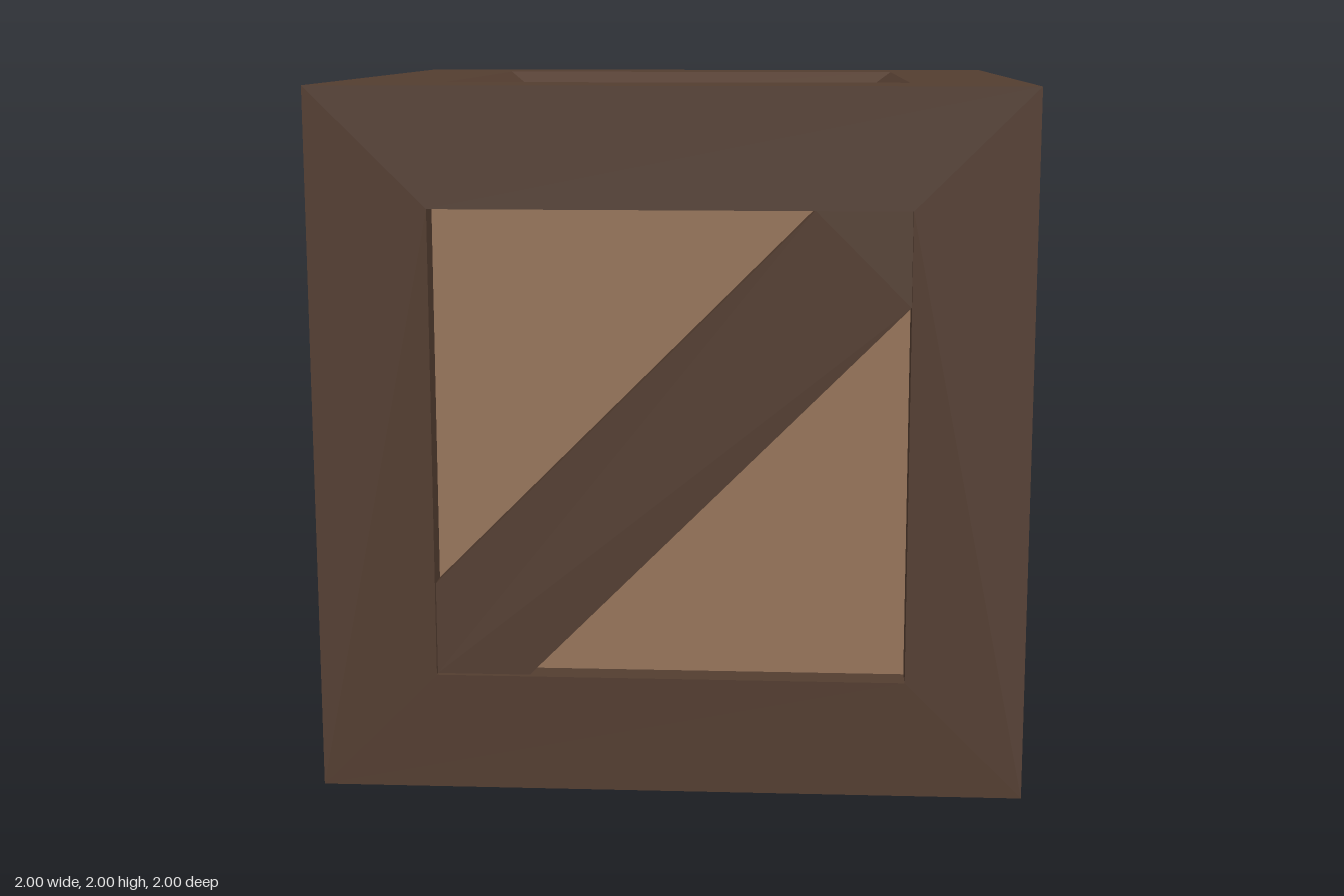
import * as THREE from 'three';

const OPEN = 0.665;   // half width of each opening
const DEPTH = 0.08;   // recess of the panels
const INSET = 0.016;  // recess of the diagonal braces

const darkWood = new THREE.MeshStandardMaterial({ color: 0x533d30, flatShading: true });
const lightWood = new THREE.MeshStandardMaterial({ color: 0x967459, flatShading: true });

const square = (h, Type) => new Type([[-h, -h], [h, -h], [h, h], [-h, h]].map(([x, y]) => new THREE.Vector2(x, y)));

function addMesh(parent, name, geometry, material, z = 0) {
  const mesh = new THREE.Mesh(geometry, material);
  mesh.name = name;
  mesh.position.z = z;
  parent.add(mesh);
}

// Four inward-facing walls running from the opening down to the panel
function recessWalls(inner) {
  const g = new THREE.CylinderGeometry(OPEN * Math.SQRT2, inner * Math.SQRT2, DEPTH, 4, 1, true);
  g.rotateY(Math.PI / 4).rotateX(Math.PI / 2).scale(-1, 1, 1);
  const flat = g.toNonIndexed();
  flat.computeVertexNormals();
  return flat;
}

// One crate face, built facing +z at distance 1 from the centre
function crateFace(name, inner, braced) {
  const face = new THREE.Group();
  face.name = name;

  const ring = square(1, THREE.Shape);
  ring.holes.push(square(OPEN, THREE.Path));
  addMesh(face, 'frame', new THREE.ShapeGeometry(ring), darkWood, 1);
  addMesh(face, 'recessWalls', recessWalls(inner), darkWood, 1 - DEPTH / 2);
  addMesh(face, 'panel', new THREE.PlaneGeometry(inner * 2, inner * 2), lightWood, 1 - DEPTH);

  if (braced) {
    // Diagonal plank trimmed to the corners of the opening
    const cut = 0.4;
    const outline = [[-OPEN, -OPEN], [-cut, -OPEN], [OPEN, cut], [OPEN, OPEN], [cut, OPEN], [-OPEN, -cut]];
    const shape = new THREE.Shape(outline.map(([x, y]) => new THREE.Vector2(x, y)));
    const plank = new THREE.ExtrudeGeometry(shape, { depth: DEPTH - INSET, bevelEnabled: false });
    addMesh(face, 'diagonalBrace', plank, darkWood, 1 - DEPTH);
  }
  return face;
}

export function createModel() {
  const crate = new THREE.Group();
  crate.name = 'crate';
  const body = new THREE.Group();
  body.name = 'crateBody';
  body.position.y = 1;
  crate.add(body);

  // Four braced sides
  ['frontSide', 'leftSide', 'backSide', 'rightSide'].forEach((name, i) => {
    const side = crateFace(name, OPEN, true);
    side.rotation.y = i * Math.PI / 2;
    body.add(side);
  });

  // Lid with sloping recess, and plain base
  const lid = crateFace('lid', 0.55, false);
  lid.rotation.x = -Math.PI / 2;
  const base = crateFace('base', OPEN, false);
  base.rotation.x = Math.PI / 2;
  body.add(lid, base);

  return crate;
}
